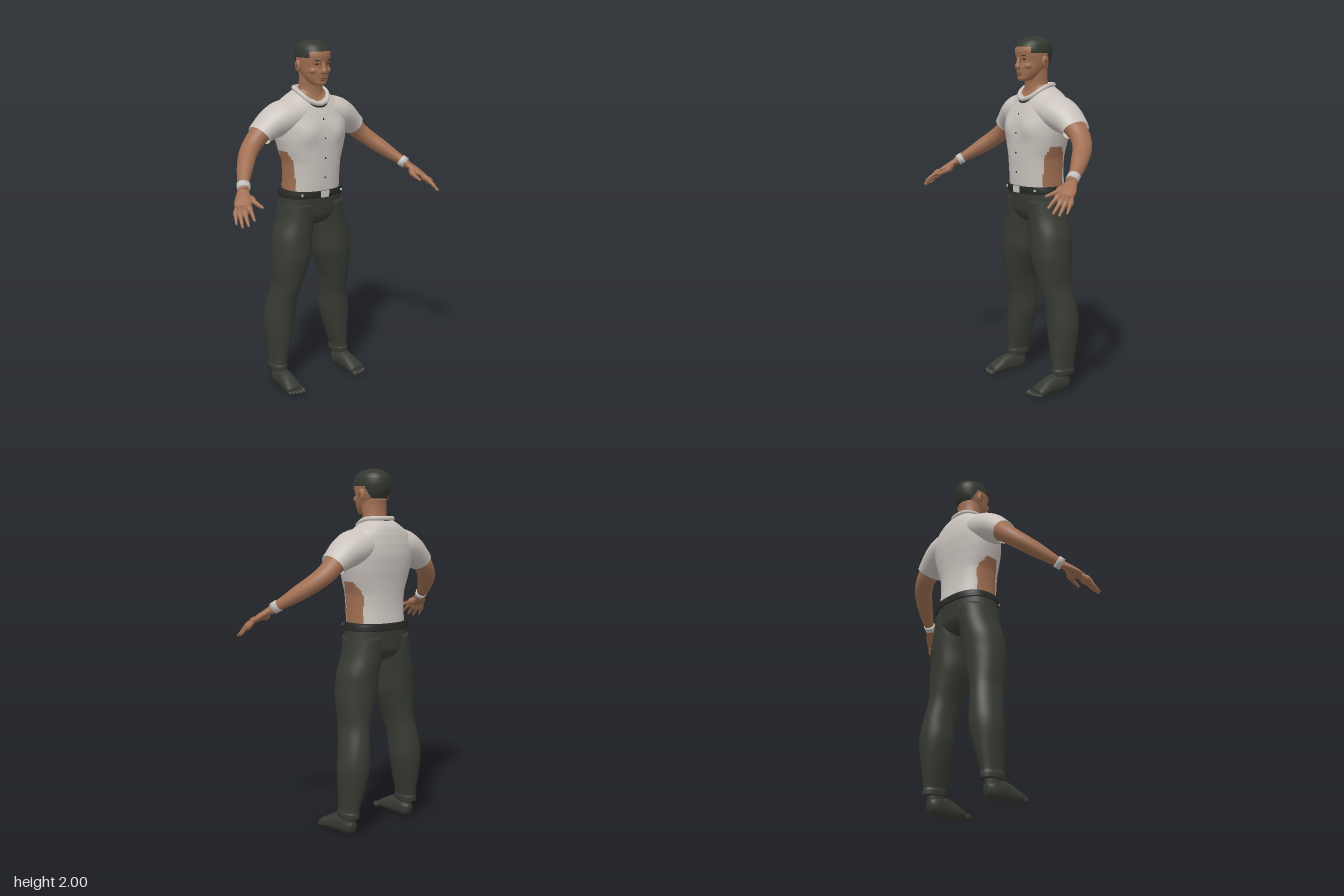
import * as THREE from 'three';

const mat = (name, color) => {
  const m = new THREE.MeshStandardMaterial({ color, side: THREE.DoubleSide });
  m.name = name;
  return m;
};
const skin = mat('skin', 0xa06f52);
const lip = mat('lips', 0x7d4d3b);
const shirt = mat('shirt cloth', 0xcac3bd);
const cloth = mat('trouser cloth', 0x373a33);
const hair = mat('hair', 0x343830);
const leather = mat('belt leather', 0x282a27);
const metal = mat('pale metal', 0xc6c4c1);

const V = (x, y, z) => new THREE.Vector3(x, y, z);

// Smooth skin through oval rings [x, y, z, halfWidth, halfDepth]
function loft(name, rows, material, o = {}) {
  const { side = V(1, 0, 0), n = 28, steps = 5, power = 2, fixed = false, caps = true, warp, pick, second } = o;
  const path = new THREE.CatmullRomCurve3(rows.map(r => V(r[0], r[1], r[2])));
  const size = new THREE.CatmullRomCurve3(rows.map(r => V(r[3], r[4], 0)));
  const count = (rows.length - 1) * steps;
  const axis = path.getPoint(1).sub(path.getPoint(0));
  if (fixed) axis.set(0, Math.sign(axis.y), 0);
  const rings = [];
  for (let i = 0; i <= count; i++) rings.push([i / count, 1]);
  if (caps) { rings.unshift([0, 0]); rings.push([1, 0]); }
  const se = v => Math.sign(v) * Math.abs(v) ** (2 / power);
  const pts = [];
  for (const [t, k] of rings) {
    const c = path.getPoint(t), s = size.getPoint(t);
    const T = fixed ? axis.clone() : path.getTangent(t);
    const A = side.clone().addScaledVector(T, -side.dot(T)).normalize();
    const B = T.clone().cross(A);
    for (let j = 0; j < n; j++) {
      const a = (j / n) * Math.PI * 2;
      const p = c.clone().addScaledVector(A, se(Math.cos(a)) * s.x * k)
        .addScaledVector(B, se(Math.sin(a)) * s.y * k);
      if (warp) warp(p);
      pts.push(p);
    }
  }
  const faces = [[], []];
  for (let i = 0; i < rings.length - 1; i++) for (let j = 0; j < n; j++) {
    const a = i * n + j, b = i * n + (j + 1) % n, c = a + n, d = b + n;
    const mid = pts[a].clone().add(pts[b]).add(pts[c]).add(pts[d]).multiplyScalar(0.25);
    faces[pick && pick(mid) ? 1 : 0].push(a, b, c, b, d, c);
  }
  const g = new THREE.BufferGeometry().setFromPoints(pts);
  g.setIndex([...faces[0], ...faces[1]]);
  g.addGroup(0, faces[0].length, 0);
  g.addGroup(faces[0].length, faces[1].length, 1);
  g.computeVertexNormals();
  const mesh = new THREE.Mesh(g, pick ? [material, second] : material);
  mesh.name = name;
  return mesh;
}

// Upright loft from [y, centreX, halfWidth, frontZ, backZ]
const upright = (name, rows, material, o = {}) => loft(name,
  rows.map(([y, x, w, f, b]) => [x, y, (f + b) / 2, w, (f - b) / 2]), material, { fixed: true, ...o });

function ball(name, material, pos, scale) {
  const m = new THREE.Mesh(new THREE.SphereGeometry(1, 16, 12), material);
  m.name = name;
  m.position.set(...pos);
  m.scale.set(...scale);
  return m;
}

function box(name, material, pos, size, rotZ = 0) {
  const m = new THREE.Mesh(new THREE.BoxGeometry(...size), material);
  m.name = name;
  m.position.set(...pos);
  m.rotation.z = rotZ;
  return m;
}

function makeHead() {
  const g = new THREE.Group();
  g.name = 'head';
  // Hairline drops from the forehead, over the ears, to the nape
  const hairline = z => z > -0.025 ? 1.94 : z > -0.125 ? 1.905 : Math.max(1.83, 1.905 + (z + 0.125) * 2.2);
  g.add(upright('skull', [
    [1.757, 0, 0.028, -0.002, -0.05], [1.77, 0, 0.047, 0.004, -0.1], [1.8, 0, 0.067, 0.004, -0.135],
    [1.83, 0, 0.078, 0.006, -0.165], [1.86, 0, 0.085, 0.002, -0.185], [1.89, 0, 0.089, 0.01, -0.198],
    [1.92, 0, 0.091, 0.014, -0.203], [1.95, 0, 0.087, 0.006, -0.2], [1.975, 0, 0.073, -0.015, -0.185],
    [1.992, 0, 0.045, -0.045, -0.155], [2.0, 0, 0.012, -0.08, -0.115],
  ], skin, {
    n: 64, steps: 7, power: 2.15, second: hair, pick: p => p.y > hairline(p.z),
  }));
  g.add(upright('neck', [
    [1.64, 0, 0.095, -0.03, -0.2], [1.7, 0, 0.078, -0.05, -0.185], [1.75, 0, 0.07, -0.05, -0.175],
    [1.8, 0, 0.07, -0.04, -0.172], [1.84, 0, 0.07, -0.05, -0.175],
  ], skin));
  g.add(loft('nose', [[0, 1.888, 0.002, 0.009, 0.008], [0, 1.855, 0.011, 0.01, 0.009],
    [0, 1.834, 0.016, 0.017, 0.013], [0, 1.822, 0.008, 0.013, 0.009]], skin, { n: 14 }));
  g.add(ball('upperLip', lip, [0, 1.797, 0.003], [0.024, 0.0045, 0.007]));
  g.add(ball('lowerLip', lip, [0, 1.788, 0.003], [0.021, 0.005, 0.007]));
  for (const s of [-1, 1]) {
    g.add(ball('brow', hair, [s * 0.036, 1.894, 0.002], [0.022, 0.004, 0.006]));
    g.add(ball('eye', leather, [s * 0.035, 1.874, -0.005], [0.013, 0.005, 0.006]));
    g.add(ball('cheek', skin, [s * 0.045, 1.838, -0.025], [0.025, 0.02, 0.022]));
    g.add(ball('ear', skin, [s * 0.091, 1.862, -0.106], [0.013, 0.032, 0.021]));
    g.add(ball('earHollow', lip, [s * 0.1, 1.864, -0.104], [0.005, 0.016, 0.01]));
  }
  return g;
}

function makeTorso() {
  const g = new THREE.Group();
  g.name = 'torso';
  const sideGap = p => p.y < 1.4 && Math.abs(p.x) > 0.1 && p.z < -0.05 - Math.max(0, p.y - 1.34) * 0.4
    && p.z > -0.185 + Math.max(0, p.y - 1.35) * 0.8;
  const neckGap = p => p.z > -0.12 && p.y > 1.672 + (p.x / 0.08) ** 2 * 0.04;
  g.add(upright('shirtBody', [
    [1.165, 0, 0.166, 0.018, -0.258], [1.25, 0, 0.166, 0.022, -0.25], [1.33, 0, 0.172, 0.025, -0.25],
    [1.4, 0, 0.195, 0.026, -0.256], [1.47, 0, 0.214, 0.025, -0.265], [1.54, 0, 0.224, 0.016, -0.27],
    [1.6, 0, 0.222, -0.004, -0.265], [1.65, 0, 0.195, -0.025, -0.255], [1.69, 0, 0.14, -0.048, -0.24],
    [1.715, 0, 0.1, -0.06, -0.22], [1.735, 0, 0.078, -0.068, -0.195],
  ], shirt, {
    n: 96, steps: 8, power: 2.35, second: skin, pick: p => sideGap(p) || neckGap(p),
    warp: p => { // chest muscles
      if (p.z > -0.06) p.z += 0.014 * Math.exp(-((Math.abs(p.x) - 0.1) ** 2 + (p.y - 1.5) ** 2) / 0.003);
    },
  }));
  // Crew collar with a dark seam beneath it
  const collar = (name, drop, r, material) => {
    const c = new THREE.CatmullRomCurve3([
      V(0, 1.655 - drop, -0.022), V(0.05, 1.668 - drop, -0.033), V(0.085, 1.705 - drop, -0.075),
      V(0.088, 1.73 - drop, -0.13), V(0.06, 1.735 - drop, -0.19), V(0, 1.735 - drop, -0.207),
      V(-0.06, 1.735 - drop, -0.19), V(-0.088, 1.73 - drop, -0.13), V(-0.085, 1.705 - drop, -0.075),
      V(-0.05, 1.668 - drop, -0.033)], true);
    const m = new THREE.Mesh(new THREE.TubeGeometry(c, 64, r, 8, true), material);
    m.name = name;
    g.add(m);
  };
  collar('collar', 0, 0.013, shirt);
  collar('collarSeam', 0.016, 0.006, leather);
  for (const [y, z] of [[1.575, 0.008], [1.47, 0.026], [1.36, 0.027], [1.25, 0.023]])
    g.add(ball('button', leather, [0, y, z], [0.005, 0.005, 0.003]));
  // Belt
  g.add(upright('belt', [[1.135, 0, 0.193, 0.018, -0.264], [1.155, 0, 0.192, 0.02, -0.264],
    [1.175, 0, 0.188, 0.02, -0.262]], leather, { n: 48, power: 2.4 }));
  g.add(box('buckle', metal, [0, 1.155, 0.022], [0.05, 0.036, 0.012]));
  for (const s of [-1, 1]) g.add(box('beltStud', metal, [s * 0.135, 1.157, -0.012], [0.008, 0.012, 0.02]));
  // Trouser seat
  g.add(upright('trouserSeat', [
    [1.15, 0, 0.188, 0.012, -0.258], [1.08, 0, 0.195, 0.006, -0.254], [1.03, 0, 0.195, 0, -0.25],
    [0.99, 0, 0.13, -0.02, -0.23], [0.965, 0, 0.06, -0.06, -0.19],
  ], cloth, { n: 48, power: 2.3 }));
  return g;
}

function makeArm(s) {
  const g = new THREE.Group();
  g.name = s > 0 ? 'leftArm' : 'rightArm';
  const flip = rows => rows.map(r => [r[0] * s, ...r.slice(1)]);
  g.add(loft('sleeve', flip([
    [0.07, 1.6, -0.13, 0.115, 0.09], [0.17, 1.582, -0.135, 0.116, 0.096], [0.24, 1.556, -0.14, 0.102, 0.086],
    [0.3, 1.518, -0.142, 0.086, 0.069], [0.327, 1.497, -0.14, 0.081, 0.063],
  ]), shirt, { side: V(0, 0, 1), caps: false }));
  g.add(loft('arm', flip([
    [0.25, 1.55, -0.145, 0.066, 0.062], [0.32, 1.5, -0.147, 0.062, 0.055], [0.375, 1.45, -0.138, 0.057, 0.05],
    [0.425, 1.405, -0.105, 0.053, 0.046], [0.475, 1.357, -0.05, 0.047, 0.042], [0.525, 1.308, 0.012, 0.036, 0.032],
    [0.557, 1.276, 0.06, 0.028, 0.024], [0.57, 1.26, 0.08, 0.029, 0.021],
  ]), skin, { side: V(0, 0, 1) }));
  g.add(loft('wristband', flip([[0.545, 1.288, 0.042, 0.036, 0.032], [0.561, 1.27, 0.068, 0.035, 0.031]]),
    metal, { steps: 2 }));
  const across = V(s * 0.9, -0.4, 0);
  g.add(loft('palm', flip([
    [0.565, 1.267, 0.07, 0.027, 0.02], [0.585, 1.245, 0.1, 0.037, 0.02], [0.608, 1.218, 0.137, 0.046, 0.018],
    [0.625, 1.2, 0.165, 0.04, 0.013],
  ]), skin, { side: across }));
  const fingers = {
    thumb: [[0.572, 1.245, 0.1], [0.55, 1.215, 0.155], [0.541, 1.196, 0.22], 0.013],
    indexFinger: [[0.6, 1.215, 0.15], [0.608, 1.188, 0.21], [0.62, 1.15, 0.264], 0.011],
    middleFinger: [[0.618, 1.205, 0.155], [0.637, 1.165, 0.21], [0.65, 1.125, 0.256], 0.011],
    ringFinger: [[0.633, 1.2, 0.148], [0.658, 1.158, 0.195], [0.674, 1.117, 0.236], 0.011],
    littleFinger: [[0.644, 1.2, 0.132], [0.67, 1.16, 0.167], [0.685, 1.125, 0.195], 0.0095],
  };
  for (const [name, [a, b, c, r]] of Object.entries(fingers))
    g.add(loft(name, flip([[...a, r, r], [...b, r, r], [...c, r * 0.55, r * 0.55]]), skin, { side: across, n: 10 }));
  return g;
}

function makeLeg(s) {
  const g = new THREE.Group();
  g.name = s > 0 ? 'leftLeg' : 'rightLeg';
  g.add(upright('trouserLeg', [
    [1.1, 0.096, 0.096, 0.002, -0.25], [1.0, 0.108, 0.104, -0.002, -0.247], [0.9, 0.132, 0.114, 0, -0.24],
    [0.8, 0.14, 0.115, 0.003, -0.232], [0.7, 0.157, 0.098, -0.012, -0.228], [0.6, 0.173, 0.079, -0.032, -0.23],
    [0.5, 0.19, 0.082, -0.057, -0.247], [0.4, 0.2, 0.089, -0.065, -0.255], [0.25, 0.213, 0.066, -0.07, -0.236],
    [0.14, 0.225, 0.046, -0.075, -0.215], [0.125, 0.226, 0.05, -0.071, -0.218], [0.1, 0.226, 0.047, -0.073, -0.217],
  ].map(r => [r[0], r[1] * s, ...r.slice(2)]), cloth, { n: 36, power: 2.1 }));
  // Bare foot
  g.add(upright('ankle', [[0.15, s * 0.224, 0.037, -0.085, -0.195], [0.09, s * 0.224, 0.036, -0.08, -0.188],
    [0.04, s * 0.224, 0.038, -0.07, -0.185]], cloth));
  g.add(loft('foot', [
    [0.222, 0.045, -0.185, 0.022, 0.028], [0.222, 0.05, -0.15, 0.04, 0.048], [0.225, 0.055, -0.1, 0.042, 0.053],
    [0.227, 0.05, -0.05, 0.044, 0.048], [0.23, 0.036, 0.01, 0.05, 0.033], [0.231, 0.026, 0.05, 0.049, 0.022],
  ].map(r => [r[0] * s, ...r.slice(1)]), cloth, { power: 2.3 }));
  [[0.193, 0.064, 0.016, 0.026], [0.217, 0.066, 0.011, 0.023], [0.238, 0.06, 0.0105, 0.022],
    [0.257, 0.053, 0.01, 0.021], [0.273, 0.043, 0.01, 0.02]].forEach(([x, z, r, len]) =>
    g.add(ball('toe', cloth, [s * x, 0.02, z], [r, r * 1.15, len])));
  return g;
}

export function createModel() {
  const model = new THREE.Group();
  model.name = 'standingMan';
  model.add(makeHead(), makeTorso());
  for (const s of [-1, 1]) model.add(makeArm(s), makeLeg(s));
  return model;
}
